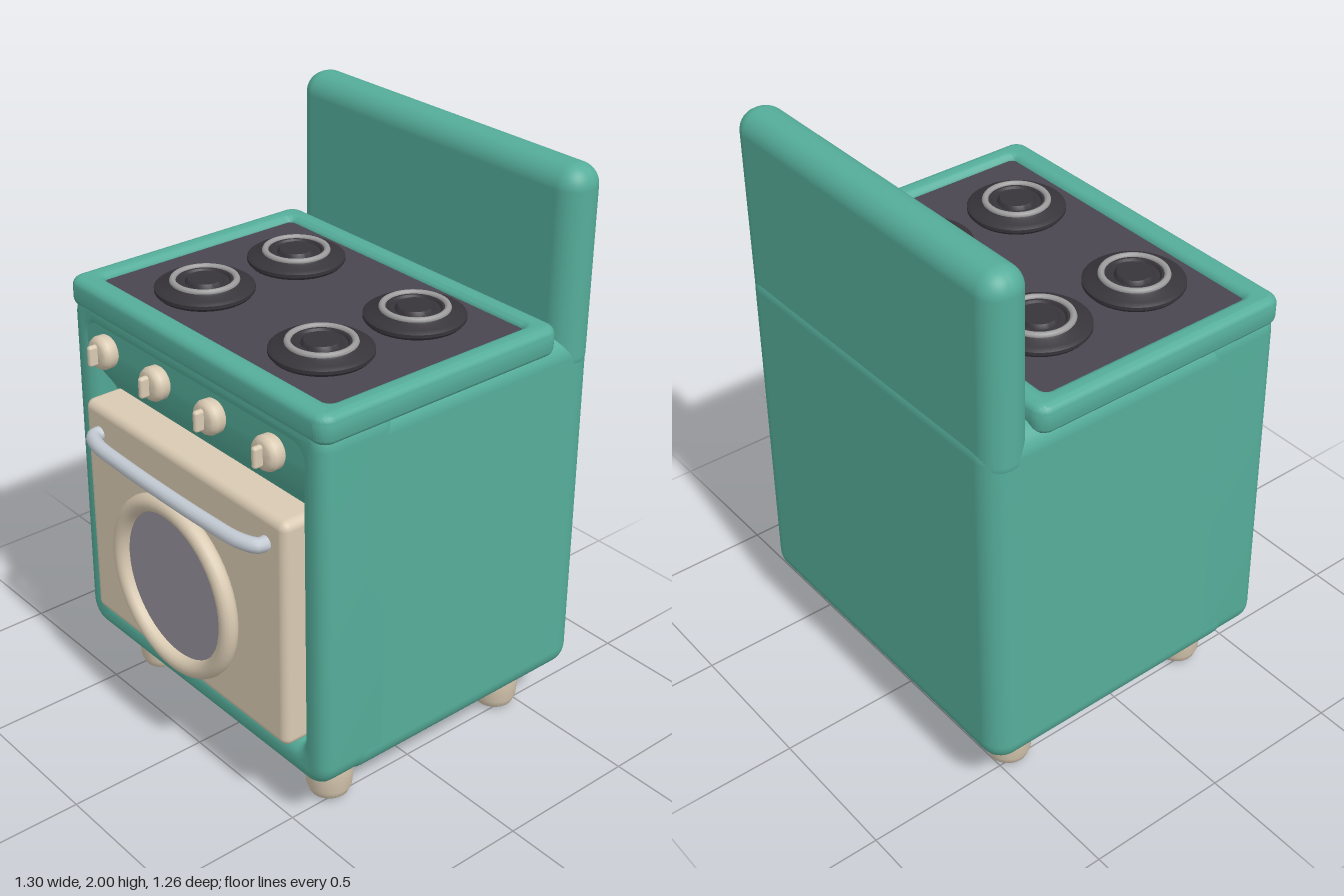
import * as THREE from 'three';
import { toCreasedNormals } from 'three/addons/utils/BufferGeometryUtils.js';
import { RoundedBoxGeometry } from 'three/addons/geometries/RoundedBoxGeometry.js';

const mat = (color) => new THREE.MeshStandardMaterial({ color });

// Rounded rectangle outline between two corners
function roundRect(path, x0, y0, x1, y1, r) {
  path.moveTo(x0 + r, y0);
  path.lineTo(x1 - r, y0);
  path.absarc(x1 - r, y0 + r, r, -Math.PI / 2, 0);
  path.lineTo(x1, y1 - r);
  path.absarc(x1 - r, y1 - r, r, 0, Math.PI / 2);
  path.lineTo(x0 + r, y1);
  path.absarc(x0 + r, y1 - r, r, Math.PI / 2, Math.PI);
  path.lineTo(x0, y0 + r);
  path.absarc(x0 + r, y0 + r, r, Math.PI, Math.PI * 1.5);
  return path;
}

// Frame with soft edges, z from 0 to depth
function frame(outer, inner, depth, bevel) {
  const shape = roundRect(new THREE.Shape(), ...outer);
  shape.holes.push(roundRect(new THREE.Path(), ...inner));
  const geo = new THREE.ExtrudeGeometry(shape, {
    depth: depth - 2 * bevel, bevelThickness: bevel, bevelSize: bevel,
    bevelOffset: -bevel, bevelSegments: 6, curveSegments: 8,
  });
  geo.translate(0, 0, bevel);
  return toCreasedNormals(geo, 0.7);
}

// Rounded box given by its minimum and maximum corners
function box(x0, y0, z0, x1, y1, z1, r) {
  const geo = new RoundedBoxGeometry(x1 - x0, y1 - y0, z1 - z0, 5, r);
  return geo.translate((x0 + x1) / 2, (y0 + y1) / 2, (z0 + z1) / 2);
}

// Narrow the cabinet slightly towards the top
function taper(geo) {
  const p = geo.attributes.position;
  for (let i = 0; i < p.count; i++) {
    p.setX(i, p.getX(i) * (1 - 0.016 * (p.getY(i) - 0.18)));
  }
  return geo;
}

function lathe(points, segments = 40) {
  const geo = new THREE.LatheGeometry(points.map(([x, y]) => new THREE.Vector2(x, y)), segments);
  return toCreasedNormals(geo, 0.7);
}

export function createModel() {
  const model = new THREE.Group();
  model.name = 'cooker';
  const enamel = mat(0x55ad9a), cream = mat(0xd9cab2), dark = mat(0x4a4650);
  const iron = mat(0x37343a), grey = mat(0x9c9c9c), glass = mat(0x96929c), steel = mat(0xc3cad3);

  const add = (name, geo, material, parent = model) => {
    const mesh = new THREE.Mesh(geo, material);
    mesh.name = name;
    parent.add(mesh);
    return mesh;
  };
  const group = (name, x, y, z) => {
    const g = new THREE.Group();
    g.name = name;
    g.position.set(x, y, z);
    model.add(g);
    return g;
  };

  // Cabinet with an open frame around the door
  add('cabinet', taper(box(-0.65, 0.18, -0.63, 0.65, 1.455, 0.4, 0.08)), enamel);
  const front = frame([-0.65, 0.18, 0.65, 1.48, 0.09], [-0.535, 0.3, 0.535, 1.36, 0.03], 0.29, 0.05);
  add('doorFrame', taper(front.translate(0, 0, 0.205)), enamel);

  // Control fascia, curving inwards above the door
  const profile = new THREE.Shape();
  profile.moveTo(-0.34, 1.45);
  profile.lineTo(-0.34, 1.1);
  profile.lineTo(-0.4, 1.1);
  profile.bezierCurveTo(-0.42, 1.17, -0.488, 1.2, -0.491, 1.32);
  profile.lineTo(-0.491, 1.45);
  const fascia = new THREE.ExtrudeGeometry(profile, { depth: 1.13, bevelEnabled: false, curveSegments: 14 });
  fascia.translate(0, 0, -0.565).rotateY(Math.PI / 2);
  add('controlFascia', toCreasedNormals(fascia, 0.6), enamel);

  // Upright panel at the back
  add('backPanel', box(-0.64, 1.3, -0.625, 0.64, 2, -0.47, 0.072), enamel);

  // Raised rim and dark cooking surface
  const rim = frame([-0.645, -0.5, 0.645, 0.455, 0.05], [-0.565, -0.41, 0.565, 0.375, 0.02], 0.1, 0.03);
  add('topRim', rim.rotateX(-Math.PI / 2).translate(0, 1.415, 0), enamel);
  add('cookingSurface', box(-0.575, 1.43, -0.385, 0.575, 1.495, 0.42, 0.01), dark);

  // Four burners
  const plate = lathe([[0, 1.49], [0.15, 1.49], [0.163, 1.505], [0.163, 1.516], [0.15, 1.525],
    [0.118, 1.53], [0.11, 1.538], [0.085, 1.538], [0.08, 1.53], [0, 1.53]]);
  const cap = lathe([[0.066, 1.52], [0.062, 1.535], [0.055, 1.543], [0, 1.543]]);
  const ring = new THREE.TorusGeometry(0.103, 0.011, 8, 40).rotateX(Math.PI / 2).translate(0, 1.537, 0);
  for (const x of [-0.29, 0.29]) {
    for (const z of [-0.172, 0.206]) {
      const burner = group('burner', x, 0, z);
      add('burnerPlate', plate, iron, burner);
      add('burnerRing', ring, grey, burner);
      add('burnerCap', cap, iron, burner);
    }
  }

  // Oven door with a round window
  add('door', box(-0.522, 0.31, 0.37, 0.522, 1.13, 0.542, 0.03), cream);
  add('windowRing', new THREE.TorusGeometry(0.287, 0.031, 14, 48).translate(0, 0.67, 0.577), cream);
  add('windowGlass', new THREE.CylinderGeometry(0.28, 0.28, 0.04, 48).rotateX(Math.PI / 2)
    .translate(0, 0.67, 0.55), glass);

  // Door handle, bent towards the door at both ends
  const path = new THREE.CatmullRomCurve3(
    [[-0.43, 0.52], [-0.435, 0.565], [-0.38, 0.593], [-0.22, 0.605],
      [0.22, 0.605], [0.38, 0.593], [0.435, 0.565], [0.43, 0.52]]
      .map(([x, z]) => new THREE.Vector3(x, 1.033, z)), false, 'centripetal');
  add('doorHandle', new THREE.TubeGeometry(path, 60, 0.025, 12), steel);

  // Control knobs
  const dial = lathe([[0, 0], [0.046, 0], [0.056, 0.012], [0.057, 0.04], [0.05, 0.053], [0.038, 0.058], [0, 0.058]], 28)
    .rotateX(Math.PI / 2);
  const grip = box(-0.011, -0.036, 0.04, 0.011, 0.036, 0.088, 0.01);
  for (const x of [-0.425, -0.143, 0.139, 0.421]) {
    const knob = group('knob', x, 1.325, 0.488);
    add('knobDial', dial, cream, knob);
    add('knobGrip', grip, cream, knob);
  }

  // Four stubby feet
  const foot = lathe([[0, 0], [0.045, 0.002], [0.066, 0.014], [0.076, 0.04], [0.082, 0.12], [0.083, 0.22]], 28);
  for (const x of [-0.467, 0.467]) {
    for (const z of [-0.44, 0.317]) add('foot', foot, cream).position.set(x, 0, z);
  }

  return model;
}
